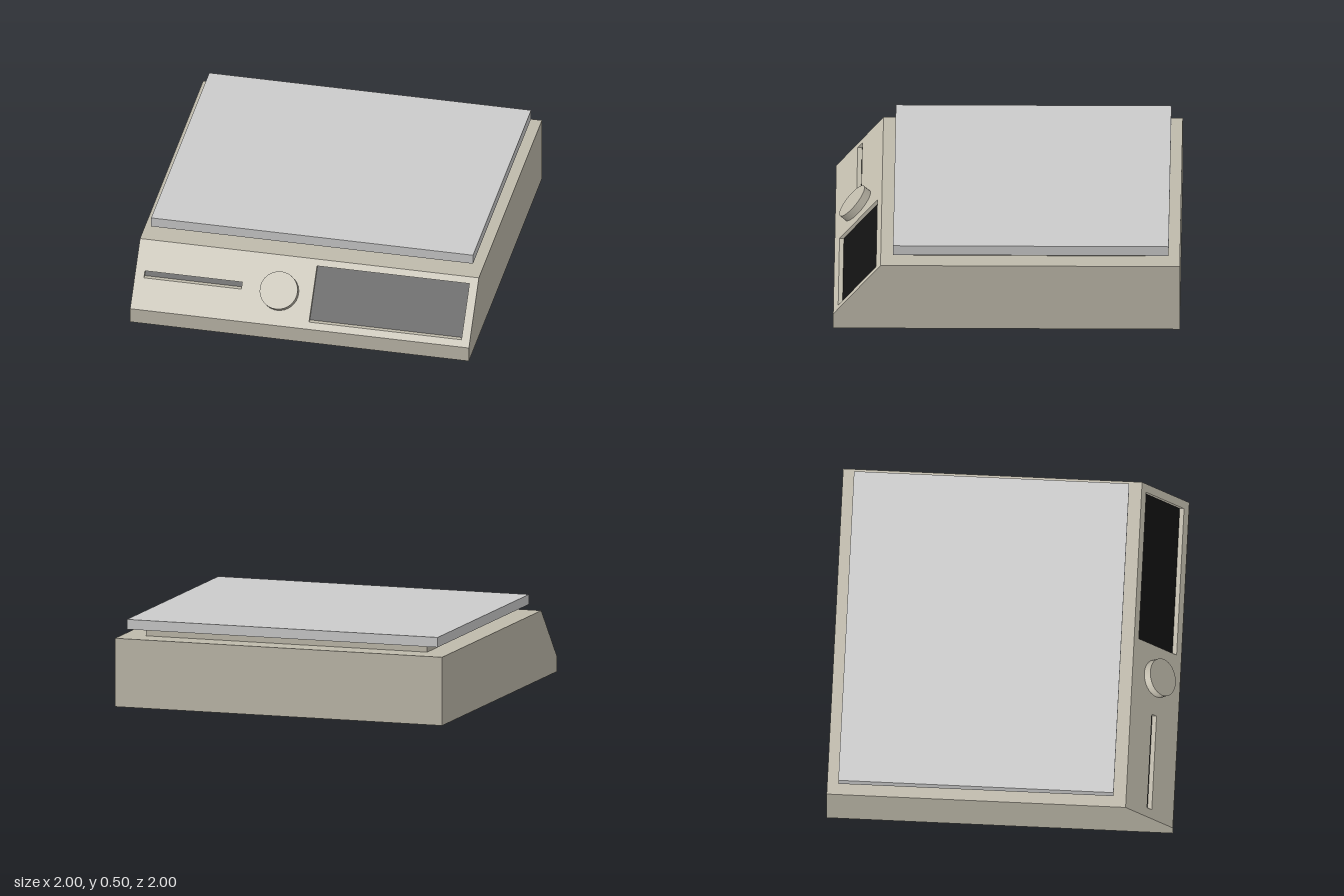
import * as THREE from 'three';

const mat = (color) => new THREE.MeshStandardMaterial({ color, roughness: 0.8 });
const beige = mat(0xbfbaab);
const grey = mat(0xcccccc);
const black = mat(0x111111);

// The sloped console runs from (y 0.09, z 1) up to (y 0.40, z 0.727)
const Y0 = 0.09, Y1 = 0.40, ZTOP = 0.727;
const slopeZ = (y) => 1 - (1 - ZTOP) * (y - Y0) / (Y1 - Y0);
const RECESS = 0.028;

// Openings in the console: [name, x0, x1, y0, y1]
const openings = [
  ['displayScreen', 0.05, 0.95, 0.122, 0.37],
  ['slotFloor', -0.945, -0.37, 0.231, 0.262],
];

function rect(Type, x0, x1, y0, y1) {
  return new Type([[x0, y0], [x1, y0], [x1, y1], [x0, y1]].map(([x, y]) => new THREE.Vector2(x, y)));
}

// Extrudes an upright outline and shears it back onto the slope
function slopeExtrude(shape, depth, zOffset) {
  const geo = new THREE.ExtrudeGeometry(shape, { depth, bevelEnabled: false });
  const p = geo.attributes.position;
  for (let i = 0; i < p.count; i++) p.setZ(i, p.getZ(i) + zOffset + slopeZ(p.getY(i)));
  geo.computeVertexNormals();
  return geo;
}

function add(parent, name, geo, material) {
  const mesh = new THREE.Mesh(geo, material);
  mesh.name = name;
  parent.add(mesh);
  return mesh;
}

function box(parent, name, x0, x1, y0, y1, z0, z1, material) {
  const geo = new THREE.BoxGeometry(x1 - x0, y1 - y0, z1 - z0);
  geo.translate((x0 + x1) / 2, (y0 + y1) / 2, (z0 + z1) / 2);
  return add(parent, name, geo, material);
}

export function createModel() {
  const model = new THREE.Group();
  model.name = 'tabletopScale';

  // Housing: side profile extruded across the width, set back behind the console panel
  const profile = new THREE.Shape([
    [-1, 0], [1, 0], [1, Y0], [1 - RECESS, Y0], [ZTOP - RECESS, Y1], [-1, Y1],
  ].map(([z, y]) => new THREE.Vector2(z, y)));
  const housing = new THREE.ExtrudeGeometry(profile, { depth: 2, bevelEnabled: false });
  housing.rotateY(-Math.PI / 2).translate(1, 0, 0);
  add(model, 'housing', housing, beige);

  // Sloped console panel with the display window and slot cut out
  const panel = rect(THREE.Shape, -1, 1, Y0, Y1);
  for (const [, ...r] of openings) panel.holes.push(rect(THREE.Path, ...r));
  add(model, 'consolePanel', slopeExtrude(panel, RECESS, -RECESS), beige);

  // Black floors at the bottom of each recess
  for (const [name, ...r] of openings) {
    add(model, name, slopeExtrude(rect(THREE.Shape, ...r), 0.003, -RECESS), black);
  }

  // Round control knob standing square to the slope
  const tilt = Math.atan2(Y1 - Y0, 1 - ZTOP);
  const knobGeo = new THREE.CylinderGeometry(0.111, 0.111, 0.046, 32).translate(0, 0.023, 0);
  const knob = add(model, 'knob', knobGeo, beige);
  knob.rotation.x = tilt;
  knob.position.set(-0.144, 0.24, slopeZ(0.24));

  // Weighing platform on its support
  box(model, 'platformSupport', -0.86, 0.86, 0.40, 0.445, -0.86, 0.58, beige);
  box(model, 'platform', -0.95, 0.95, 0.445, 0.503, -0.935, 0.655, grey);

  return model;
}
